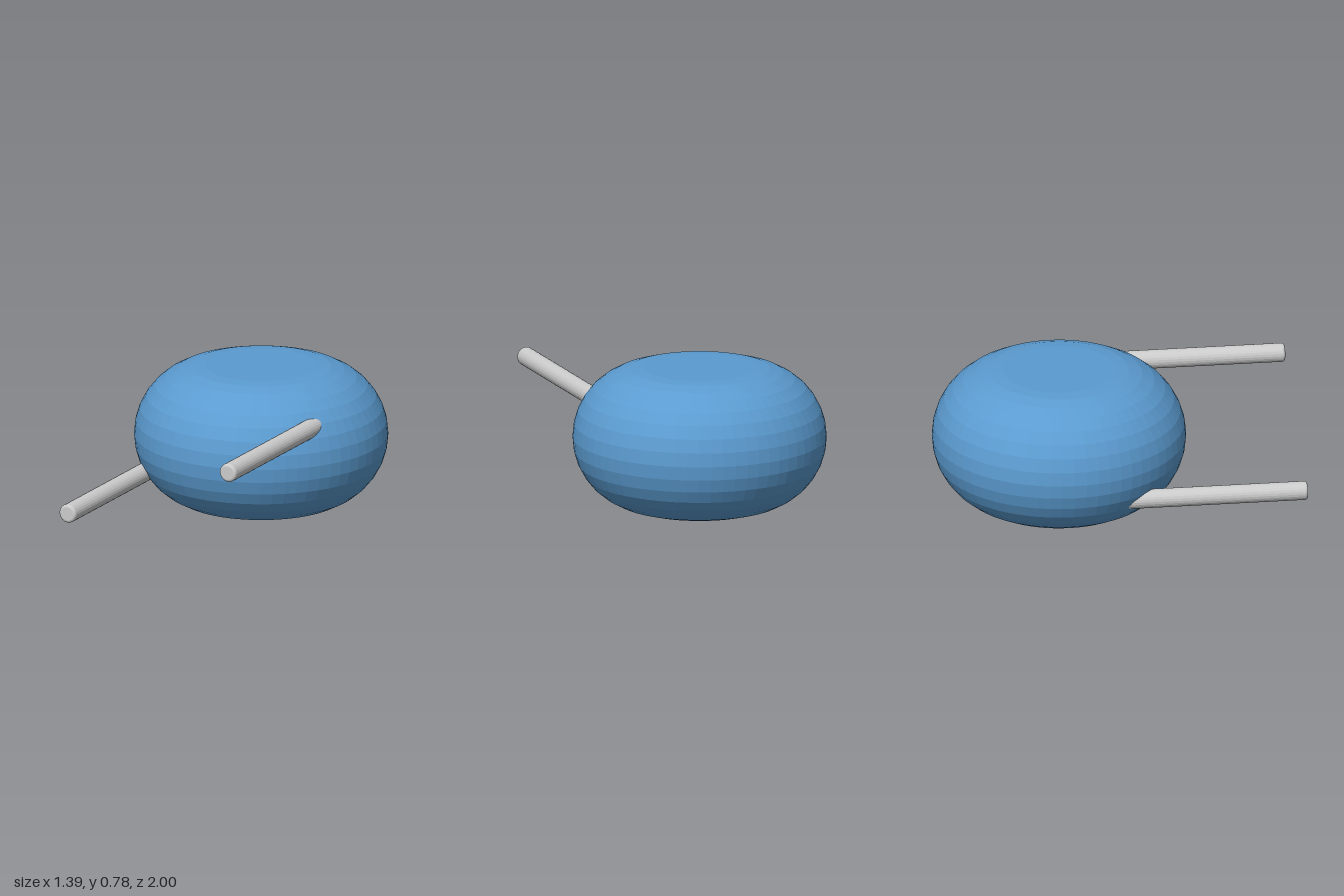
import * as THREE from 'three';

const blue = new THREE.MeshStandardMaterial({ color: 0x5b9bd0, flatShading: true });
const grey = new THREE.MeshStandardMaterial({ color: 0xcccccc, flatShading: true });

// Quarter-arc helper: points of an arc in the profile plane
function arc(cx, cy, r, from, to, steps) {
  const pts = [];
  for (let i = 0; i <= steps; i++) {
    const a = from + (to - from) * i / steps;
    pts.push(new THREE.Vector2(cx + r * Math.cos(a), cy + r * Math.sin(a)));
  }
  return pts;
}

// Flat-topped disc with a fully rounded rim
function makeBody() {
  const h = 0.389, flat = 0.306;
  const profile = [
    new THREE.Vector2(0, 0),
    ...arc(flat, h, h, -Math.PI / 2, Math.PI / 2, 16),
    new THREE.Vector2(0, 2 * h),
  ];
  const body = new THREE.Mesh(new THREE.LatheGeometry(profile, 64), blue);
  body.name = 'body';
  body.position.z = -0.305;
  return body;
}

// Round rod along z with a softened tip, rooted inside the body
function makeRod(name, x, y) {
  const r = 0.052, bevel = 0.016, back = -0.2, length = 1 - back;
  const profile = [
    new THREE.Vector2(0, 0),
    new THREE.Vector2(r, 0),
    ...arc(r - bevel, length - bevel, bevel, 0, Math.PI / 2, 4),
    new THREE.Vector2(0, length),
  ];
  const geometry = new THREE.LatheGeometry(profile, 24).rotateX(Math.PI / 2);
  const rod = new THREE.Mesh(geometry, grey);
  rod.name = name;
  rod.position.set(x, y, back);
  return rod;
}

export function createModel() {
  const model = new THREE.Group();
  model.name = 'roundedBodyWithRods';
  model.add(
    makeBody(),
    makeRod('upperLeftRod', 0.497, 0.582),
    makeRod('lowerRightRod', -0.5, 0.203),
  );
  return model;
}
